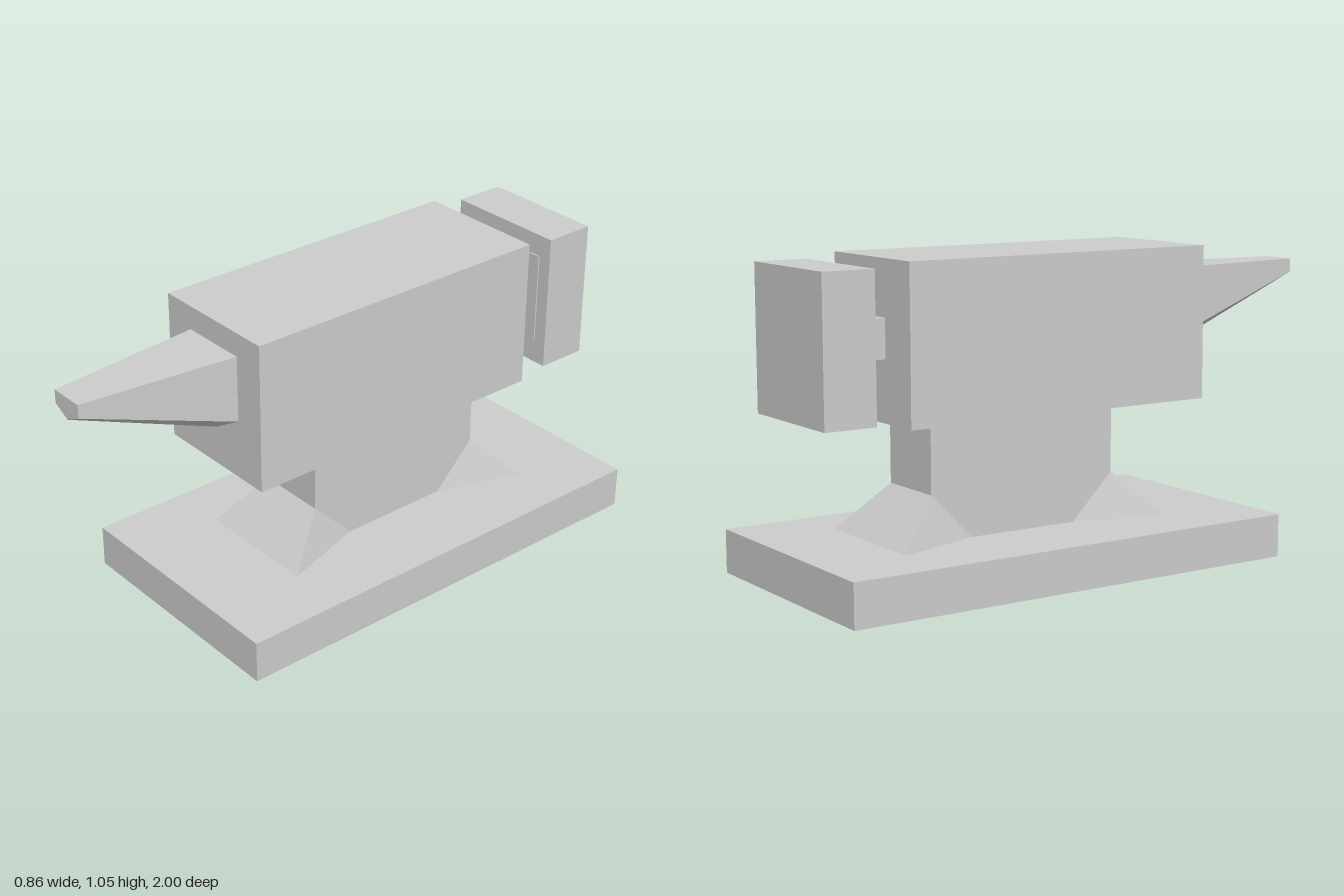
import * as THREE from 'three';
import { ConvexGeometry } from 'three/addons/geometries/ConvexGeometry.js';

const material = new THREE.MeshStandardMaterial({ color: 0xcccccc, flatShading: true });

export function createModel() {
  const model = new THREE.Group();
  model.name = 'anvil';

  const add = (name, geometry) => {
    const mesh = new THREE.Mesh(geometry, material);
    mesh.name = name;
    model.add(mesh);
  };

  // Box given by its bounds on each axis
  const block = (name, [x0, x1], [y0, y1], [z0, z1]) => {
    const g = new THREE.BoxGeometry(x1 - x0, y1 - y0, z1 - z0);
    g.translate((x0 + x1) / 2, (y0 + y1) / 2, (z0 + z1) / 2);
    add(name, g);
  };

  // Convex solid from points mirrored across x = 0
  const mirroredHull = (name, half) => {
    const points = [];
    for (const [x, y, z] of half) {
      points.push(new THREE.Vector3(x, y, z));
      if (x > 0) points.push(new THREE.Vector3(-x, y, z));
    }
    add(name, new ConvexGeometry(points));
  };

  // Foot plate, waist and main block
  block('base', [-0.43, 0.43], [0, 0.146], [-1, 0.64]);
  block('waist', [-0.127, 0.127], [0.14, 0.54], [-0.55, 0.155]);
  block('body', [-0.237, 0.234], [0.537, 1.055], [-0.685, 0.457]);

  // Sloping feet at the front and back of the waist
  const foot = (name, width, zWall, zToe, zInner) => mirroredHull(name, [
    [0.127, 0.3, zWall],
    [width, 0.146, zToe],
    [0.127, 0.146, zInner],
  ]);
  foot('frontFoot', 0.223, 0.155, 0.31, 0);
  foot('backFoot', 0.229, -0.55, -0.705, -0.4);

  // Tapered five-sided horn
  mirroredHull('horn', [
    [0.12, 0.973, 0.455], [0.12, 0.742, 0.455], [0, 0.67, 0.455],
    [0.062, 0.973, 1], [0.062, 0.927, 1], [0, 0.896, 1],
  ]);

  // Rear block on its short neck, with a thin raised pad
  block('rearNeck', [-0.085, 0.1], [0.74, 0.87], [-0.8, -0.68]);
  block('rearPad', [-0.16, 0.18], [0.64, 0.96], [-0.8, -0.788]);
  block('rearBlock', [-0.216, 0.228], [0.555, 1.037], [-0.973, -0.793]);

  return model;
}
